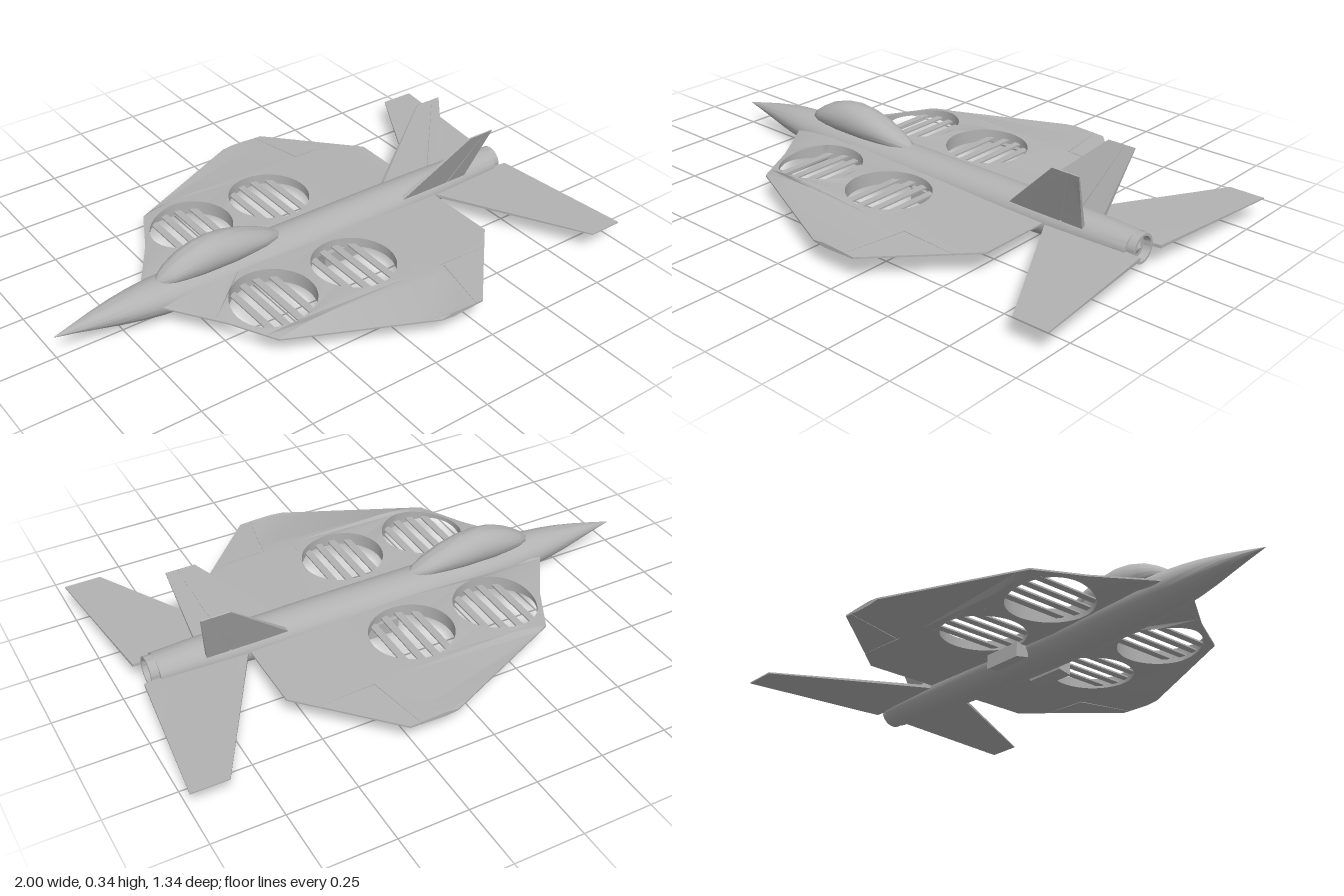
import * as THREE from 'three';
import { toCreasedNormals } from 'three/addons/utils/BufferGeometryUtils.js';

const grey = new THREE.MeshStandardMaterial({ color: 0xb2b2b2, side: THREE.DoubleSide });
grey.name = 'airframe grey';

function mesh(name, geometry, parent) {
  const m = new THREE.Mesh(geometry, grey);
  m.name = name;
  parent.add(m);
  return m;
}

// Lofts elliptical sections [x, bottom, top, halfWidth] along x
function loft(stations, sides = 40) {
  const pos = [], index = [];
  for (const [x, bottom, top, w] of stations) {
    for (let j = 0; j < sides; j++) {
      const a = (j / sides) * Math.PI * 2;
      pos.push(x, (top + bottom) / 2 + ((top - bottom) / 2) * Math.sin(a), w * Math.cos(a));
    }
  }
  for (let i = 0; i < stations.length - 1; i++) {
    for (let j = 0; j < sides; j++) {
      const k = (j + 1) % sides;
      const a = i * sides + j, b = a + sides, c = (i + 1) * sides + k, d = i * sides + k;
      index.push(a, b, c, a, c, d);
    }
  }
  const g = new THREE.BufferGeometry();
  g.setAttribute('position', new THREE.Float32BufferAttribute(pos, 3));
  g.setIndex(index);
  return toCreasedNormals(g, 0.6);
}

// Flat panel from an [x, span] outline; half-thickness follows the rule h(x, span)
function panel(outline, side, h, holes = []) {
  const pts = [];
  outline.forEach(([x, z], i) => {
    const [x2, z2] = outline[(i + 1) % outline.length];
    const n = Math.max(1, Math.ceil(Math.hypot(x2 - x, z2 - z) / 0.05 - 1e-6));
    for (let k = 0; k < n; k++) {
      pts.push(new THREE.Vector2(x + ((x2 - x) * k) / n, side * (z + ((z2 - z) * k) / n)));
    }
  });
  const shape = new THREE.Shape(pts);
  for (const [x, z, r] of holes) {
    shape.holes.push(new THREE.Path().absarc(x, side * z, r, 0, Math.PI * 2, true));
  }
  const g = new THREE.ExtrudeGeometry(shape, { depth: 1, bevelEnabled: false, curveSegments: 48 });
  g.rotateX(Math.PI / 2);
  const p = g.attributes.position;
  for (let i = 0; i < p.count; i++) {
    const t = h(p.getX(i), Math.abs(p.getZ(i)));
    p.setY(i, p.getY(i) > -0.5 ? t : -t);
  }
  return toCreasedNormals(g, 0.5);
}

// Piecewise-linear lookup through [input, output] pairs
function lerpTable(table, v) {
  for (let i = 1; i < table.length; i++) {
    const [a, fa] = table[i - 1], [b, fb] = table[i];
    if (v <= b) return fa + ((fb - fa) * Math.max(0, v - a)) / (b - a);
  }
  return table[table.length - 1][1];
}

// Airfoil half-thickness of the main wing
function wingThickness(x, z) {
  const lead = lerpTable([[0.05, -0.65], [0.27, -0.5], [0.44, -0.41], [0.67, 0.09]], z);
  const trail = lerpTable([[0, 0.56], [0.36, 0.56], [0.67, 0.27]], z);
  const t = THREE.MathUtils.clamp((x - lead) / (trail - lead), 0, 1);
  const profile = t < 0.2 ? 1 - (1 - t / 0.2) ** 2 : 1 - ((t - 0.2) / 0.8) ** 1.5;
  return 0.003 + profile * lerpTable([[0, 0.026], [0.42, 0.024], [0.67, 0.005]], z);
}

export function createModel() {
  const model = new THREE.Group();
  model.name = 'jet';

  // Fuselage and canopy
  mesh('fuselage', loft([
    [-1, 0.087, 0.089, 0.001], [-0.93, 0.075, 0.105, 0.017], [-0.85, 0.06, 0.122, 0.036],
    [-0.77, 0.043, 0.136, 0.053], [-0.7, 0.032, 0.144, 0.066], [-0.62, 0.022, 0.149, 0.077],
    [-0.5, 0.013, 0.151, 0.085], [-0.35, 0.007, 0.151, 0.088], [-0.15, 0.002, 0.151, 0.088],
    [0.1, 0.003, 0.151, 0.087], [0.35, 0.008, 0.151, 0.084], [0.55, 0.015, 0.149, 0.078],
    [0.75, 0.025, 0.145, 0.07], [0.88, 0.033, 0.14, 0.064], [0.88, 0.085, 0.087, 0.001],
  ]), model);
  mesh('canopy', loft([
    [-0.615, 0.13, 0.145, 0.002], [-0.595, 0.125, 0.168, 0.027], [-0.56, 0.12, 0.192, 0.044],
    [-0.51, 0.115, 0.219, 0.056], [-0.45, 0.11, 0.238, 0.063], [-0.39, 0.11, 0.245, 0.065],
    [-0.32, 0.11, 0.238, 0.064], [-0.25, 0.115, 0.22, 0.058], [-0.18, 0.12, 0.192, 0.046],
    [-0.13, 0.125, 0.167, 0.03], [-0.1, 0.13, 0.145, 0.002],
  ]), model);

  // Exhaust nozzle with a recessed inner cone
  const profile = [[0.053, -0.02], [0.053, 0.03], [0.044, 0.03], [0.04, 0.004], [0.026, 0.004], [0.001, 0.02]];
  const nozzle = new THREE.LatheGeometry(profile.map(([r, y]) => new THREE.Vector2(r, y)), 40);
  nozzle.rotateZ(-Math.PI / 2);
  mesh('exhaustNozzle', toCreasedNormals(nozzle, 0.5), model).position.set(0.88, 0.087, 0);

  const fans = [[-0.31, 0.262, 0.152], [0.032, 0.262, 0.152]];
  for (const side of [1, -1]) {
    const label = side > 0 ? 'left' : 'right';

    // Wing panels, with shallow grooves around the aileron
    const wing = new THREE.Group();
    wing.name = label + 'Wing';
    wing.position.y = 0.087;
    model.add(wing);
    const groove = (x, z) => wingThickness(x, z) * 0.8;
    mesh('innerWing', panel([[-0.65, 0.05], [-0.5, 0.27], [-0.41, 0.44], [0.2, 0.44], [0.2, 0.05]],
      side, wingThickness, fans), wing);
    mesh('rearWing', panel([[0.2, 0.05], [0.2, 0.44], [0.485, 0.44], [0.56, 0.36], [0.56, 0.05]],
      side, wingThickness), wing);
    mesh('outerWing', panel([[-0.41, 0.44], [0.09, 0.67], [0.23, 0.67], [0.275, 0.44], [0.2, 0.44]],
      side, wingThickness), wing);
    mesh('aileronGroove', panel([[0.23, 0.67], [0.24, 0.67], [0.287, 0.447], [0.478, 0.447],
      [0.485, 0.44], [0.275, 0.44]], side, groove), wing);
    mesh('aileron', panel([[0.24, 0.67], [0.27, 0.67], [0.478, 0.447], [0.287, 0.447]],
      side, wingThickness), wing);

    // Slats across each lift fan opening
    for (const [x, z, r] of fans) {
      for (let i = 0; i < 4; i++) {
        const dx = (i - 1.5) * 0.056;
        const slat = new THREE.BoxGeometry(0.027, 0.006, 2 * Math.sqrt(r * r - dx * dx) + 0.004);
        mesh('fanSlat', slat, wing).position.set(x + dx, -0.008, side * z);
      }
    }

    // Horizontal tail
    mesh(label + 'Tailplane', panel([[0.555, 0.05], [0.865, 0.605], [0.998, 0.605], [0.938, 0.058], [0.86, 0.05]],
      side, (x, z) => 0.006 - 0.006 * z), model).position.y = 0.082;

    // Canted fin with its rudder
    const fin = new THREE.Group();
    fin.name = label + 'Fin';
    fin.position.set(0, 0.12, side * 0.06);
    fin.rotation.x = -side * 1.18;
    model.add(fin);
    const finThickness = (x, v) => 0.008 - 0.024 * v;
    mesh('finBlade', panel([[0.41, 0], [0.65, 0.243], [0.715, 0.243], [0.625, 0]], side, finThickness), fin);
    mesh('rudderGroove', panel([[0.625, 0], [0.715, 0.243], [0.722, 0.243], [0.632, 0]],
      side, (x, v) => finThickness(x, v) * 0.6), fin);
    mesh('rudder', panel([[0.632, 0], [0.722, 0.243], [0.756, 0.243], [0.715, 0]], side, finThickness), fin);

    // Belly pod
    const section = [[0.07, 0.068], [0.128, 0.068], [0.128, 0.014], [0.076, 0.024]];
    const pod = new THREE.ExtrudeGeometry(
      new THREE.Shape(section.map(([z, y]) => new THREE.Vector2(-side * z, y))),
      { depth: 0.16, bevelEnabled: false });
    pod.rotateY(Math.PI / 2);
    mesh(label + 'BellyPod', pod, model).position.x = 0.01;
  }
  return model;
}
